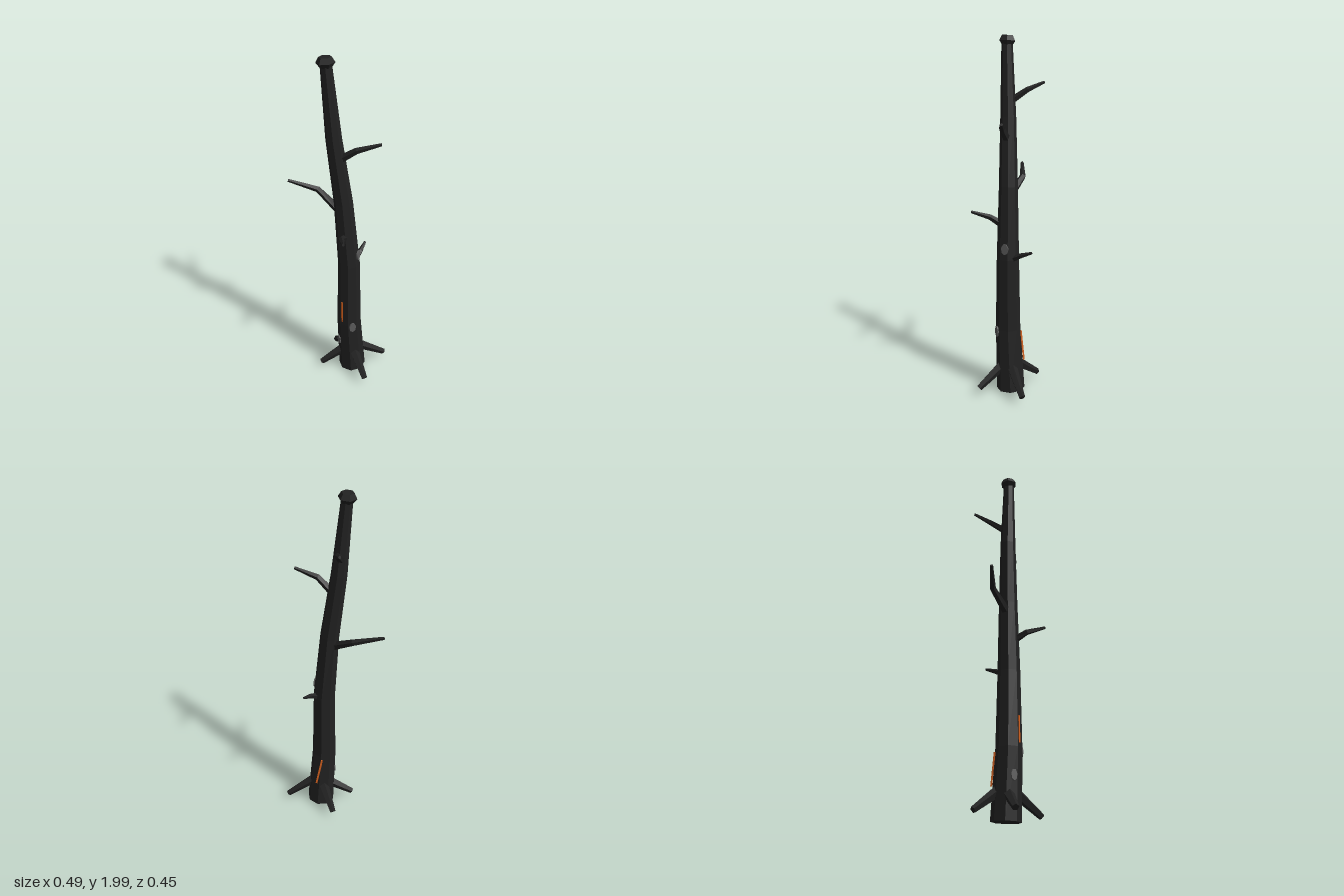
import * as THREE from 'three';

const V = (p) => new THREE.Vector3(...p);

// Faceted, capped limb. Each station is [x, y, z, radius].
function limb(stations, sides, ref = [0, 1, 0], phase = 0) {
  const c = stations.map((s) => V(s.slice(0, 3)));
  const rings = c.map((p, i) => {
    const t = c[Math.min(i + 1, c.length - 1)].clone().sub(c[Math.max(i - 1, 0)]).normalize();
    const n = V(ref).addScaledVector(t, -V(ref).dot(t)).normalize();
    const b = t.clone().cross(n);
    return Array.from({ length: sides }, (_, j) => {
      const a = phase + (j / sides) * Math.PI * 2, r = stations[i][3];
      return p.clone().addScaledVector(n, Math.cos(a) * r).addScaledVector(b, Math.sin(a) * r);
    });
  });
  const pts = [];
  const last = rings.length - 1;
  for (let j = 0; j < sides; j++) {
    const k = (j + 1) % sides;
    for (let i = 0; i < last; i++) {
      const [p, q] = [rings[i], rings[i + 1]];
      pts.push(p[j], p[k], q[k], p[j], q[k], q[j]);
    }
    pts.push(c[0], rings[0][k], rings[0][j], c[last], rings[last][j], rings[last][k]);
  }
  const g = new THREE.BufferGeometry().setFromPoints(pts);
  g.computeVertexNormals(); // unshared corners give flat facets
  return g;
}

export function createModel() {
  const model = new THREE.Group();
  model.name = 'charredTree';
  const mat = (name, color) => {
    const m = new THREE.MeshStandardMaterial({ color });
    m.name = name;
    return m;
  };
  const char = mat('charred bark', 0x222222);
  const ash = mat('grey ash', 0x5c5c5c);
  const ember = mat('glowing ember', 0xd2601e);
  const add = (name, geometry, material) => {
    const m = new THREE.Mesh(geometry, material);
    m.name = name;
    model.add(m);
    return m;
  };

  // Leaning, tapering trunk
  add('trunk', limb([
    [0.036, 0.01, 0.012, 0.08],
    [0.012, 0.38, 0.016, 0.07],
    [0.01, 0.8, 0.016, 0.062],
    [-0.016, 1.2, -0.002, 0.052],
    [-0.058, 1.57, -0.025, 0.043],
    [-0.09, 1.96, -0.036, 0.03],
  ], 8, [1, 0, 0], 0.25), char);

  // Broken, flared top
  add('brokenTop', limb([
    [-0.09, 1.945, -0.036, 0.031],
    [-0.091, 1.968, -0.038, 0.048],
    [-0.092, 1.995, -0.04, 0.033],
  ], 6, [1, 0, 0], 0.5), char);

  // Spreading roots
  [
    [[0.065, 0.165, 0.025], [0.235, 0.05, 0.052]],
    [[0.022, 0.165, 0.05], [0.022, 0.05, 0.212]],
    [[0.035, 0.165, -0.025], [0.015, 0.05, -0.18]],
    [[-0.01, 0.145, 0], [-0.152, 0.048, -0.035]],
  ].forEach(([a, b]) => add('root', limb([[...a, 0.031], [...b, 0.018]], 5), char));

  // Bent dead branches: base, elbow, tip
  [
    [[0.045, 0.8, 0.012], [0.1, 0.832, -0.018], [0.148, 0.855, -0.056], 0.017],
    [[-0.02, 0.985, 0.03], [-0.07, 1.025, 0.085], [-0.104, 1.06, 0.183], 0.019],
    [[-0.035, 1.145, -0.025], [-0.102, 1.225, -0.143], [-0.243, 1.274, -0.222], 0.021],
    [[-0.04, 1.45, -0.01], [0.03, 1.523, 0.062], [0.138, 1.562, 0.124], 0.02],
    [[-0.062, 1.655, -0.045], [-0.018, 1.715, -0.12], [0, 1.753, -0.216], 0.018],
  ].forEach(([a, b, c, r]) =>
    add('branch', limb([[...a, r * 1.15], [...b, r * 0.85], [...c, r * 0.42]], 5), char));

  // Ash-grey knots lying on the bark: position, outward direction, half width, half height
  [
    [[0.003, 0.365, 0.083], [-0.1, 0, 1], 0.021, 0.034],
    [[0.048, 0.865, 0.057], [0.75, 0, 0.8], 0.021, 0.032],
    [[-0.05, 0.23, 0.012], [-1, 0, 0.05], 0.018, 0.03],
  ].forEach(([p, dir, w, h]) => {
    const g = new THREE.CylinderGeometry(1, 1, 0.009, 7).rotateX(Math.PI / 2).scale(w, h, 1);
    const knot = add('knot', g.toNonIndexed(), ash);
    knot.position.set(...p);
    knot.lookAt(V(p).add(V(dir)));
  });

  // Glowing cracks: lower end, upper end, outward direction
  [
    [[0.08, 0.19, -0.05], [0.045, 0.36, -0.049], [0.4, 0, -1]],
    [[-0.045, 0.4, 0.045], [-0.047, 0.545, 0.043], [-1, 0, 0.5]],
  ].forEach(([a, b, dir]) => {
    const up = V(b).sub(V(a)), len = up.length();
    up.normalize();
    const side = up.clone().cross(V(dir)).normalize();
    const out = side.clone().cross(up);
    const crack = add('emberCrack', new THREE.BoxGeometry(0.011, len, 0.009), ember);
    crack.quaternion.setFromRotationMatrix(new THREE.Matrix4().makeBasis(side, up, out));
    crack.position.copy(V(a).add(V(b)).multiplyScalar(0.5));
  });

  return model;
}
